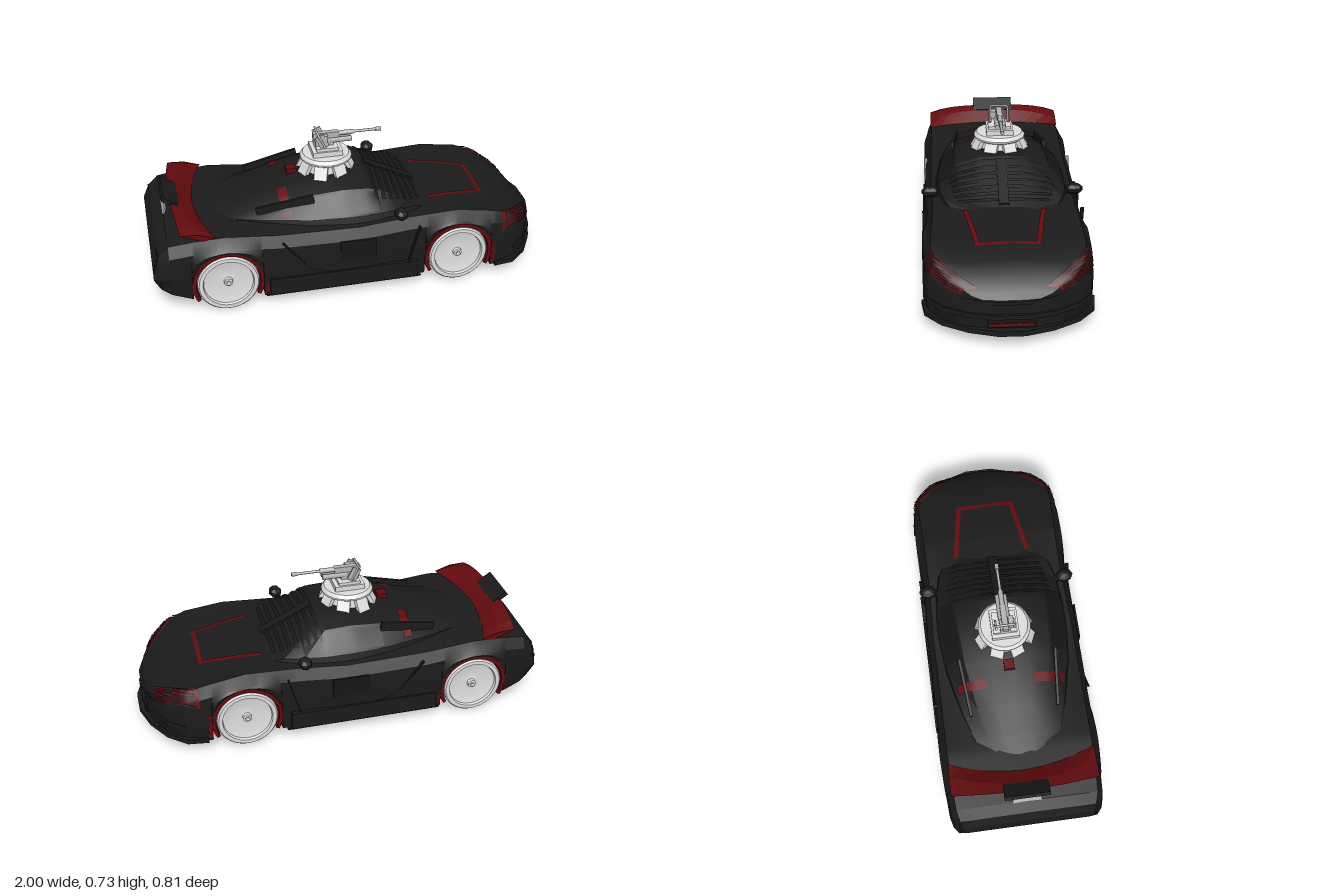
import * as THREE from 'three';
import { toCreasedNormals } from 'three/addons/utils/BufferGeometryUtils.js';

const mat = (name, color, side = THREE.FrontSide) => {
  const m = new THREE.MeshStandardMaterial({ color, side });
  m.name = name;
  return m;
};
const V = (x, y, z) => new THREE.Vector3(x, y, z);
const lerp = (a, b, k) => a + (b - a) * k;

// Linear interpolation through rows of [x, ...values]
function sample(rows, x) {
  let i = 0;
  while (i < rows.length - 2 && x > rows[i + 1][0]) i++;
  const a = rows[i], b = rows[i + 1];
  const k = THREE.MathUtils.clamp((x - a[0]) / (b[0] - a[0]), 0, 1);
  return a.slice(1).map((v, j) => lerp(v, b[j + 1], k));
}

const WHEELS = [-0.65, 0.505], ARCH = 0.17, HUB_Y = 0.15;

// x, half width, floor, shoulder height, centre height, tuck of the lower edge
const BODY = [
  [-1, 0.345, 0.165, 0.275, 0.285, 0.88], [-0.97, 0.37, 0.13, 0.33, 0.34, 0.9], [-0.92, 0.383, 0.105, 0.373, 0.383, 0.93],
  [-0.8, 0.39, 0.075, 0.388, 0.395, 0.985], [-0.65, 0.395, 0.06, 0.395, 0.4, 0.985], [-0.4, 0.395, 0.055, 0.37, 0.39, 0.985],
  [0, 0.395, 0.055, 0.36, 0.38, 0.985], [0.25, 0.382, 0.055, 0.375, 0.388, 0.985], [0.5, 0.385, 0.06, 0.387, 0.37, 0.985],
  [0.7, 0.393, 0.06, 0.358, 0.343, 0.985], [0.8, 0.372, 0.065, 0.325, 0.32, 0.985], [0.88, 0.305, 0.065, 0.28, 0.285, 0.985],
  [0.94, 0.2, 0.065, 0.232, 0.238, 0.985], [0.967, 0.1, 0.065, 0.205, 0.21, 0.985]];

// x, roof height, base half width
const CABIN = [
  [-0.74, 0.395, 0.13], [-0.6, 0.43, 0.22], [-0.45, 0.465, 0.27], [-0.23, 0.522, 0.32],
  [-0.05, 0.54, 0.335], [0.08, 0.533, 0.335], [0.2, 0.472, 0.325], [0.3, 0.42, 0.3], [0.4, 0.375, 0.24]];

// Half sections as [z, y], bottom centre to top centre
function bodyHalf(x) {
  const [w, f, s, h, tuck] = sample(BODY, x);
  let b = f;
  for (const c of WHEELS) {
    const d = Math.abs(x - c);
    if (d <= ARCH + 1e-6) b = HUB_Y + Math.sqrt(Math.max(0, ARCH * ARCH - d * d));
  }
  const zi = Math.min(0.245, w * 0.65), belt = s - 0.055;
  return [[0, f], [zi, f], [zi, b], [w * tuck, b], [w, lerp(b, belt, 0.5)], [w * 0.975, belt],
    [w * 0.9, s], [w * 0.62, h], [0, h + 0.008]];
}
function cabinHalf(x) {
  const [top, w] = sample(CABIN, x);
  return [[0, 0.33], [w, 0.34], [w * 0.95, Math.min(0.4, top - 0.02)], [w * 0.67, Math.max(top - 0.04, lerp(top, 0.38, 0.3))],
    [w * 0.32, top - 0.004], [0, top]];
}

// Closed skin through mirrored half sections
function loft(half, xs) {
  const pos = [], idx = [];
  let n = 0;
  xs.forEach(x => {
    const h = half(x);
    const ring = [...h, ...h.slice(1, -1).reverse().map(([z, y]) => [-z, y])];
    n = ring.length;
    ring.forEach(([z, y]) => pos.push(x, y, z));
  });
  for (let j = 0; j < xs.length - 1; j++) for (let i = 0; i < n; i++) {
    const a = j * n + i, b = j * n + (i + 1) % n;
    idx.push(a, a + n, b + n, a, b + n, b);
  }
  [0, xs.length - 1].forEach(j => {
    const c = pos.length / 3, h = half(xs[j]);
    pos.push(xs[j], (h[0][1] + h[h.length - 1][1]) / 2, 0);
    for (let i = 0; i < n; i++) {
      const a = j * n + i, b = j * n + (i + 1) % n;
      j ? idx.push(c, b, a) : idx.push(c, a, b);
    }
  });
  const g = new THREE.BufferGeometry();
  g.setAttribute('position', new THREE.Float32BufferAttribute(pos, 3));
  g.setIndex(idx);
  return toCreasedNormals(g, 0.35);
}

// Thin plate lying just above a lofted skin; skew slides it up the section along x
function skinPatch(half, x0, x1, t0, t1, lift, side, skew = 0) {
  const at = (x, t) => {
    const h = half(x), i = Math.min(Math.floor(t), h.length - 2), k = t - i;
    return V(x, lerp(h[i][1], h[i + 1][1], k), lerp(h[i][0], h[i + 1][0], k));
  };
  const g = new THREE.PlaneGeometry(1, 1, 10, 6), p = g.attributes.position;
  for (let i = 0; i < p.count; i++) {
    const u = p.getX(i) + 0.5, x = lerp(x0, x1, u), t = lerp(t0, t1, p.getY(i) + 0.5) + skew * u;
    const q = at(x, t), e = 0.004;
    const n = at(x + e, t).sub(at(x - e, t)).cross(at(x, t + e).sub(at(x, t - e))).normalize();
    q.addScaledVector(n, lift);
    p.setXYZ(i, q.x, q.y, q.z * side);
  }
  if (side < 0) g.setIndex([...g.index.array].reverse());
  g.computeVertexNormals();
  return g;
}

export function createModel() {
  const car = new THREE.Group();
  car.name = 'armedSportsCar';
  const black = mat('bodyBlack', 0x1b1b1b), dark = mat('trimBlack', 0x161616, THREE.DoubleSide);
  const red = mat('accentRed', 0x640b0e, THREE.DoubleSide);
  const light = mat('wheelGrey', 0xdedede), steel = mat('gunGrey', 0xb4b4b4);
  const add = (name, geo, m, parent = car) => {
    const mesh = new THREE.Mesh(geo, m);
    mesh.name = name;
    parent.add(mesh);
    return mesh;
  };
  const box = (name, m, x, y, z, w, h, d, parent) => {
    const b = add(name, new THREE.BoxGeometry(w, h, d), m, parent);
    b.position.set(x, y, z);
    return b;
  };
  const bar = (name, m, a, b, w, h) => {
    const s = add(name, new THREE.BoxGeometry(w, h, a.distanceTo(b)), m);
    s.position.copy(a).lerp(b, 0.5);
    s.lookAt(b);
  };
  const rod = (name, m, x0, x1, y, z, r, parent, sides = 10) => {
    const c = add(name, new THREE.CylinderGeometry(r, r, x1 - x0, sides).rotateZ(Math.PI / 2), m, parent);
    c.position.set((x0 + x1) / 2, y, z);
    return c;
  };

  // Shell with open wheel arches, and cabin
  const xs = BODY.map(r => r[0]);
  WHEELS.forEach(c => {
    for (let i = 0; i <= 16; i++) xs.push(c - ARCH * Math.cos(Math.PI * i / 16));
    xs.push(c - ARCH - 0.002, c + ARCH + 0.002);
  });
  add('bodyShell', loft(bodyHalf, xs.sort((a, b) => a - b)), black);
  add('cabin', loft(cabinHalf, CABIN.map(r => r[0])), black);

  // Nose: splitter, bumper lips and grille
  const plate = (name, pts, y, depth) => {
    const plan = new THREE.Shape([...pts, ...pts.map(([x, z]) => [x, -z]).reverse()].map(p => new THREE.Vector2(...p)));
    add(name, new THREE.ExtrudeGeometry(plan, { depth, bevelEnabled: false }).rotateX(Math.PI / 2).translate(0, y, 0), black);
  };
  plate('frontSplitter', [[0.7, 0.4], [0.8, 0.387], [0.89, 0.31], [0.96, 0.19], [1, 0.06]], 0.08, 0.025);
  plate('bumperLip', [[0.8, 0.375], [0.89, 0.3], [0.95, 0.2], [0.982, 0.08]], 0.15, 0.022);
  plate('noseLip', [[0.84, 0.33], [0.9, 0.26], [0.945, 0.18], [0.978, 0.07]], 0.215, 0.016);
  box('grilleFrame', dark, 0.95, 0.107, 0, 0.045, 0.042, 0.22);
  box('grilleSlot', red, 0.972, 0.1, 0, 0.008, 0.014, 0.2);

  for (const s of [1, -1]) {
    // Slatted headlights and bumper intakes
    add('headlight', skinPatch(bodyHalf, 0.73, 0.92, 4.6, 5.95, 0.004, s, 1), red);
    for (let i = 0; i < 6; i++) {
      const t = 4.72 + i * 0.21;
      add('headlightSlat', skinPatch(bodyHalf, 0.745, 0.912, t, t + 0.13, 0.008, s, 1), dark);
    }
    add('bumperIntake', skinPatch(bodyHalf, 0.83, 0.92, 3.2, 3.9, 0.003, s), dark);
    // Side window and door seams
    add('sideWindow', skinPatch(cabinHalf, -0.2, 0.12, 2.08, 2.9, 0.004, s), dark);
    const door = [[-0.38, 0.34], [-0.25, 0.18], [-0.1, 0.13], [0.24, 0.13], [0.3, 0.34]];
    for (let i = 0; i < 4; i++)
      bar('doorSeam', dark, V(...door[i], s * 0.386), V(...door[i + 1], s * 0.386), 0.018, 0.008);
    box('doorPanel', dark, -0.01, 0.26, s * 0.391, 0.18, 0.1, 0.009);
    // Skirts, red sills and red edges behind the wheels
    box('sideSkirt', black, -0.08, 0.105, s * 0.39, 0.74, 0.09, 0.026);
    box('sill', red, -0.08, 0.056, s * 0.388, 0.78, 0.008, 0.014);
    for (const x of [-0.468, 0.688]) box('archEdge', red, x, 0.14, s * 0.384, 0.018, 0.13, 0.016);
    // Hood accents, flush with the skin
    add('hoodStripe', skinPatch(bodyHalf, 0.39, 0.69, 7.16, 7.26, 0.005, s, 0.22), red);
    add('hoodCrossStripe', skinPatch(bodyHalf, 0.675, 0.695, 7.38, 7.99, 0.003, s), red);
    // Shoulder intakes behind the doors, shielded by a low buttress
    add('sideIntake', skinPatch(cabinHalf, -0.36, -0.315, 2.2, 3.8, 0.005, s), red);
    bar('buttress', black, V(-0.48, 0.428, s * 0.215), V(-0.2, 0.482, s * 0.24), 0.014, 0.045);
    // Mirrors
    bar('mirrorArm', black, V(0.2, 0.385, s * 0.29), V(0.21, 0.4, s * 0.36), 0.03, 0.016);
    const mirror = add('mirror', toCreasedNormals(new THREE.SphereGeometry(1, 8, 5), 0.1), black);
    mirror.scale.set(0.035, 0.028, 0.046);
    mirror.position.set(0.21, 0.405, s * 0.354);
    // Rear lamp slats and exhaust
    for (let i = 0; i < 4; i++) box('rearLampSlat', dark, -0.98 + i * 0.008, 0.245 + i * 0.026, s * 0.24, 0.036, 0.014, 0.2);
    rod('exhaust', dark, -0.998, -0.9, 0.19, s * 0.1, 0.025);
  }

  // Windscreen louvres and spine
  for (let i = 0; i < 7; i++) for (const s of [1, -1])
    add('windscreenLouvre', skinPatch(cabinHalf, 0.1 + i * 0.037, 0.118 + i * 0.037, 2.6, 4.9, 0.007, s), dark);
  bar('windscreenSpine', black, V(0.1, 0.521, 0), V(0.36, 0.395, 0), 0.05, 0.02);
  box('roofScoop', red, -0.27, 0.522, 0, 0.05, 0.026, 0.05);

  // Swept rear wing, a wedge lofted across the width
  const wing = new THREE.CylinderGeometry(1, 1, 1, 4, 12).toNonIndexed();
  const wp = wing.attributes.position;
  for (let i = 0; i < wp.count; i++) {
    const u = wp.getY(i) * 2, k = u * u, a = wp.getX(i), b = wp.getZ(i);
    const xf = lerp(-0.77, -0.695, k), xr = lerp(-0.885, -0.86, k), drop = 0.032 * k * k;
    const tip = a > 0.5 ? [xf, 0.402] : a < -0.5 ? [xr, 0.466 - drop]
      : b > 0.5 ? [xf - 0.07, 0.45 - drop] : b < -0.5 ? [xf - 0.06, 0.39] : [(xf + xr) / 2, 0.43];
    wp.setXYZ(i, tip[0], tip[1], u * 0.36);
  }
  wing.computeVertexNormals();
  add('rearWing', wing, red);
  box('wingFlap', black, -0.882, 0.468, 0, 0.088, 0.022, 0.22).rotation.z = -0.6;
  box('numberPlate', steel, -0.915, 0.395, 0, 0.008, 0.045, 0.14).rotation.z = -0.4;
  box('rearGrille', dark, -0.996, 0.24, 0, 0.008, 0.05, 0.26);

  // Wheels with dished rims, and red arch liners
  const profile = [[0, -0.065], [0.14, -0.065], [0.15, -0.055], [0.15, 0.058], [0.143, 0.066], [0.124, 0.066],
    [0.12, 0.052], [0.045, 0.036], [0.022, 0.04], [0.02, 0.055], [0.01, 0.058], [0, 0.058]];
  const wheelGeo = toCreasedNormals(new THREE.LatheGeometry(profile.map(p => new THREE.Vector2(...p)), 40), 0.4)
    .rotateX(Math.PI / 2);
  const liner = new THREE.Shape();
  liner.absarc(0, 0, 0.174, -0.5, Math.PI + 0.5, false);
  liner.absarc(0, 0, 0.156, Math.PI + 0.5, -0.5, true);
  const linerGeo = new THREE.ExtrudeGeometry(liner, { depth: 0.1, bevelEnabled: false, curveSegments: 24 }).translate(0, 0, -0.05);
  WHEELS.forEach(x => [1, -1].forEach(s => {
    const w = add('wheel', wheelGeo, light);
    w.position.set(x, HUB_Y, s * 0.322);
    if (s < 0) w.rotation.y = Math.PI;
    const nut = rod('wheelNut', light, 0, 0.01, 0, 0, 0.012, w, 6);
    nut.rotation.y = Math.PI / 2;
    nut.position.set(0, 0, 0.06);
    add('archLiner', linerGeo, red).position.set(x, HUB_Y, s * 0.338);
  }));

  // Turret base
  const turret = new THREE.Group();
  turret.name = 'turret';
  turret.position.x = -0.09;
  car.add(turret);
  const base = [[0, 0.49], [0.122, 0.49], [0.105, 0.572], [0.118, 0.572], [0.13, 0.58], [0.13, 0.588], [0.116, 0.605], [0, 0.605]];
  add('turretBase', toCreasedNormals(new THREE.LatheGeometry(base.map(p => new THREE.Vector2(...p)), 24), 0.4), light, turret);
  for (let i = 0; i < 8; i++) {
    const arm = new THREE.Group();
    arm.rotation.y = (i + 0.5) * Math.PI / 4;
    turret.add(arm);
    box('skirtPlate', light, 0.125, 0.54, 0, 0.02, 0.07, 0.065, arm).rotation.z = 0.5;
  }
  box('turretPlinth', light, 0, 0.617, 0, 0.15, 0.028, 0.135, turret);
  box('turretStep', light, 0, 0.638, 0, 0.11, 0.016, 0.115, turret);

  // Gun with cradle, three barrels and a tubular guard
  box('gunCradle', steel, -0.01, 0.66, 0, 0.09, 0.03, 0.05, turret);
  box('gunReceiver', steel, 0, 0.695, 0, 0.13, 0.03, 0.028, turret);
  box('ammoBox', steel, -0.02, 0.688, 0.03, 0.05, 0.036, 0.026, turret);
  rod('mainBarrel', steel, 0.06, 0.28, 0.697, 0, 0.007, turret);
  rod('barrelSleeve', steel, 0.06, 0.14, 0.697, 0, 0.012, turret);
  rod('muzzle', steel, 0.255, 0.283, 0.697, 0, 0.01, turret, 6);
  for (const s of [1, -1]) rod('lowerBarrel', steel, 0, 0.13, 0.669, s * 0.016, 0.013, turret, 6);
  const guard = [V(-0.01, 0.645, 0.047), V(-0.042, 0.71, 0.047), V(-0.047, 0.722, 0.04),
    V(-0.047, 0.722, -0.04), V(-0.042, 0.71, -0.047), V(-0.01, 0.645, -0.047)];
  const path = new THREE.CurvePath();
  for (let i = 0; i < guard.length - 1; i++) path.add(new THREE.LineCurve3(guard[i], guard[i + 1]));
  add('gunGuard', new THREE.TubeGeometry(path, 40, 0.006, 6), steel, turret);
  for (const s of [1, -1]) box('guardPlate', steel, -0.025, 0.68, s * 0.044, 0.045, 0.07, 0.008, turret).rotation.z = 0.45;
  return car;
}
